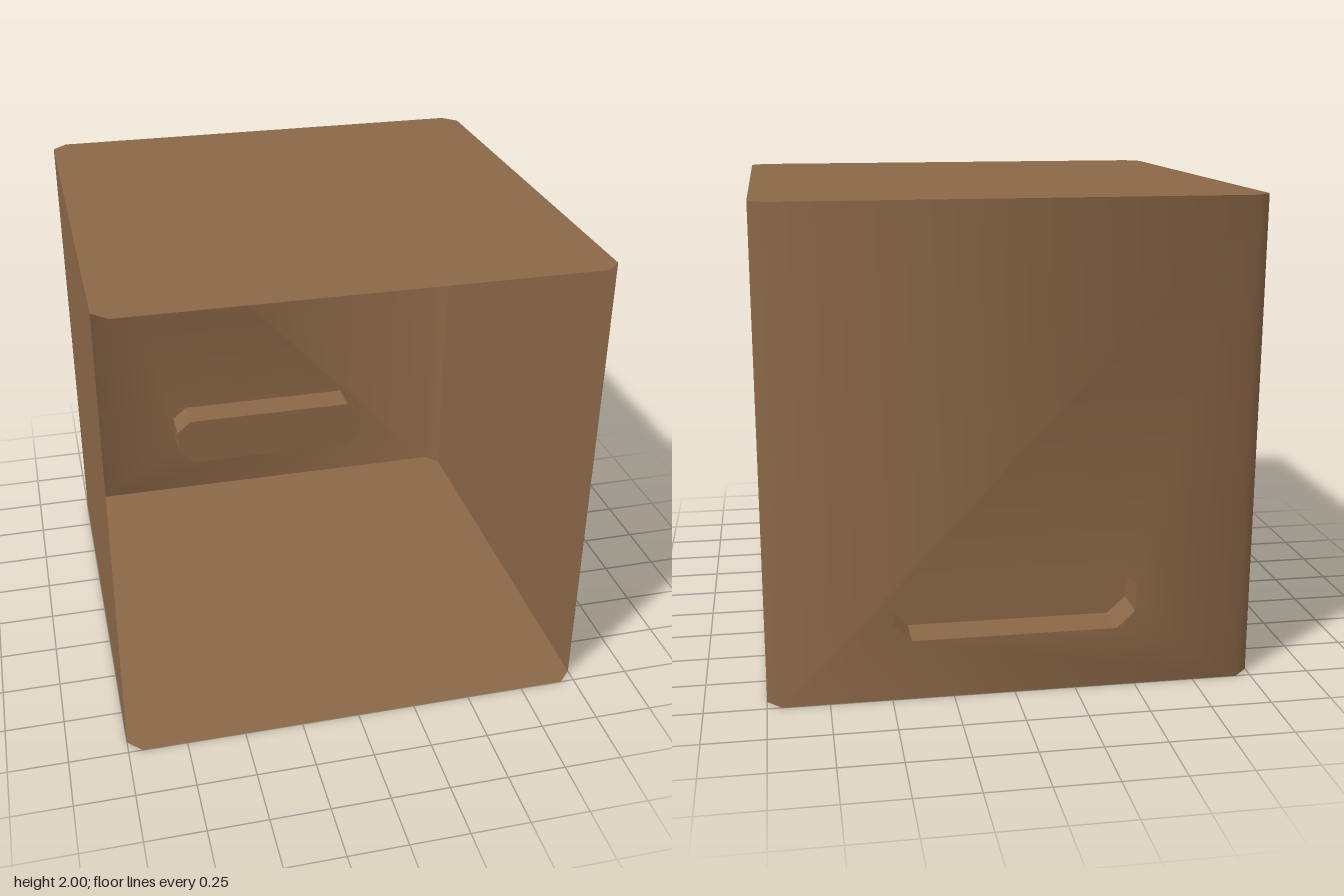
import * as THREE from 'three';
import { mergeGeometries } from 'three/addons/utils/BufferGeometryUtils.js';

const EDGE = 0.94;      // where the corner chamfers start
const RECESS_Z = -0.84; // inner face of the handle recess

export function createModel() {
  const group = new THREE.Group();
  const brown = new THREE.MeshStandardMaterial({ color: 0x8b6747, side: THREE.DoubleSide });

  const add = (name, geometry) => {
    const mesh = new THREE.Mesh(geometry, brown);
    mesh.name = name;
    group.add(mesh);
    return mesh;
  };
  const points = (list) => list.map(([x, y]) => new THREE.Vector2(x, y));

  // Top and bottom panels: squares with cut corners
  const panel = new THREE.Shape(points([
    [-EDGE, -1], [EDGE, -1], [1, -EDGE], [1, EDGE],
    [EDGE, 1], [-EDGE, 1], [-1, EDGE], [-1, -EDGE],
  ]));
  add('topPanel', new THREE.ShapeGeometry(panel).rotateX(-Math.PI / 2).translate(0, 2, 0));
  add('bottomPanel', new THREE.ShapeGeometry(panel).rotateX(Math.PI / 2));

  // Side walls
  for (const [name, s] of [['leftWall', 1], ['rightWall', -1]]) {
    add(name, new THREE.PlaneGeometry(2 * EDGE, 2).rotateY(s * Math.PI / 2).translate(s, 1, 0));
  }

  // Back wall with a handle slot, running smoothly into the two chamfers
  const slot = points([
    [-0.42, 0.25], [0.42, 0.25], [0.495, 0.32], [0.5, 0.44],
    [0.43, 0.5], [-0.43, 0.5], [-0.5, 0.44], [-0.495, 0.32],
  ]);
  const wall = new THREE.Shape(points([[-EDGE, 0], [EDGE, 0], [EDGE, 2], [-EDGE, 2]]));
  wall.holes.push(new THREE.Path(slot));
  const chamfer = (s) => new THREE.PlaneGeometry((1 - EDGE) * Math.SQRT2, 2)
    .rotateY(-s * Math.PI / 4)
    .translate(s * (1 + EDGE) / 2, 1, -(1 + EDGE) / 2);
  const back = mergeGeometries([
    new THREE.ShapeGeometry(wall).translate(0, 0, -1), chamfer(1), chamfer(-1),
  ]);
  const pos = back.attributes.position;
  for (let i = 0; i < pos.count; i++) {
    const x = pos.getX(i);
    const tilt = Math.abs(x) > 0.97 ? Math.PI / 4 : Math.abs(x) > 0.9 ? Math.PI / 8 : 0;
    back.attributes.normal.setXYZ(i, -Math.sign(x) * Math.sin(tilt), 0, Math.cos(tilt));
  }
  add('backWall', back);

  // Handle recess: flat-sided rim closed by an inner plate
  const rim = [];
  slot.forEach((a, i) => {
    const b = slot[(i + 1) % slot.length];
    rim.push(a.x, a.y, -1, b.x, b.y, -1, b.x, b.y, RECESS_Z);
    rim.push(a.x, a.y, -1, b.x, b.y, RECESS_Z, a.x, a.y, RECESS_Z);
  });
  const rimGeometry = new THREE.BufferGeometry();
  rimGeometry.setAttribute('position', new THREE.Float32BufferAttribute(rim, 3));
  rimGeometry.computeVertexNormals();
  add('handleRim', rimGeometry);
  add('handleInnerPlate', new THREE.ShapeGeometry(new THREE.Shape(slot)).translate(0, 0, RECESS_Z));

  return group;
}
